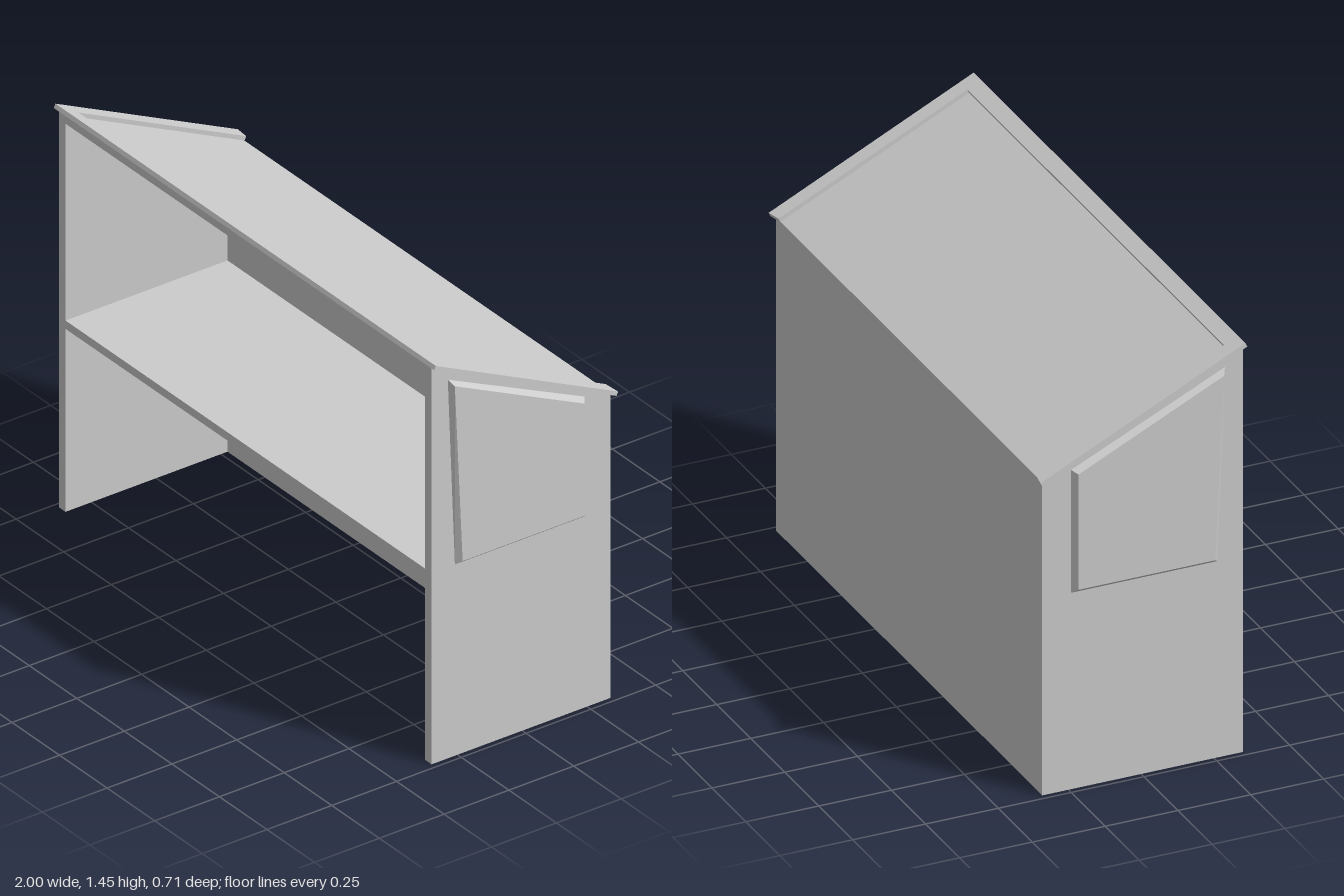
import * as THREE from 'three';

const material = new THREE.MeshStandardMaterial({ color: 0xcccccc, flatShading: true });

const toShape = (points) => new THREE.Shape(points.map(([a, b]) => new THREE.Vector2(a, b)));

// Extrudes a (z, y) side profile along x, centred on the given x.
function sideProfile(name, points, width, x = 0, bevel = { bevelEnabled: false }) {
  const geometry = new THREE.ExtrudeGeometry(toShape(points), { depth: width, ...bevel });
  geometry.translate(0, 0, -width / 2);
  geometry.rotateY(-Math.PI / 2);
  const mesh = new THREE.Mesh(geometry, material);
  mesh.name = name;
  mesh.position.x = x;
  return mesh;
}

export function createModel() {
  const group = new THREE.Group();
  group.name = 'stall';

  const outer = 0.98, inner = 0.945;
  const front = 0.35, back = -0.34, backInner = -0.275;
  const frontTop = 1.43, backTop = 1.10;
  const slope = (frontTop - backTop) / (front - back);
  const roofY = (z) => backTop + (z - back) * slope;

  // Side walls, each with a raised bevelled panel on the outside
  for (const side of [1, -1]) {
    const label = side > 0 ? 'left' : 'right';
    group.add(sideProfile(`${label}Wall`,
      [[back, 0], [front, 0], [front, frontTop], [back, backTop]],
      outer - inner, side * (outer + inner) / 2));
    group.add(sideProfile(`${label}Panel`,
      [[-0.225, 0.706], [0.245, 0.706], [0.275, 1.347], [-0.225, 1.111]],
      0.004, side * 0.978,
      { bevelEnabled: true, bevelSegments: 1, bevelSize: 0.016, bevelThickness: 0.02 }));
  }

  // Back wall, counter shelf and sloping roof between the side walls
  group.add(sideProfile('backWall',
    [[back, 0], [backInner, 0], [backInner, roofY(backInner)], [back, backTop]], inner * 2));
  group.add(sideProfile('counterShelf',
    [[backInner, 0.66], [front, 0.66], [front, 0.69], [backInner, 0.69]], inner * 2));
  group.add(sideProfile('roof',
    [[backInner, 1.07], [front, 1.40], [front, frontTop], [backInner, roofY(backInner)]], inner * 2));

  // U-shaped trim lying on the front and side edges of the roof
  const angle = Math.atan(slope);
  const along = (z) => (z - front) / Math.cos(angle);
  const f = along(0.355), fi = along(0.307), b = along(-0.341), bo = along(-0.349);
  const trimGeometry = new THREE.ExtrudeGeometry(
    toShape([[-1, -f], [1, -f], [1, -bo], [inner, -b], [inner, -fi],
      [-inner, -fi], [-inner, -b], [-1, -bo]]),
    { depth: 0.015, bevelEnabled: false });
  trimGeometry.rotateX(-Math.PI / 2 - angle);
  const trim = new THREE.Mesh(trimGeometry, material);
  trim.name = 'roofTrim';
  trim.position.set(0, frontTop, front);
  group.add(trim);

  return group;
}
